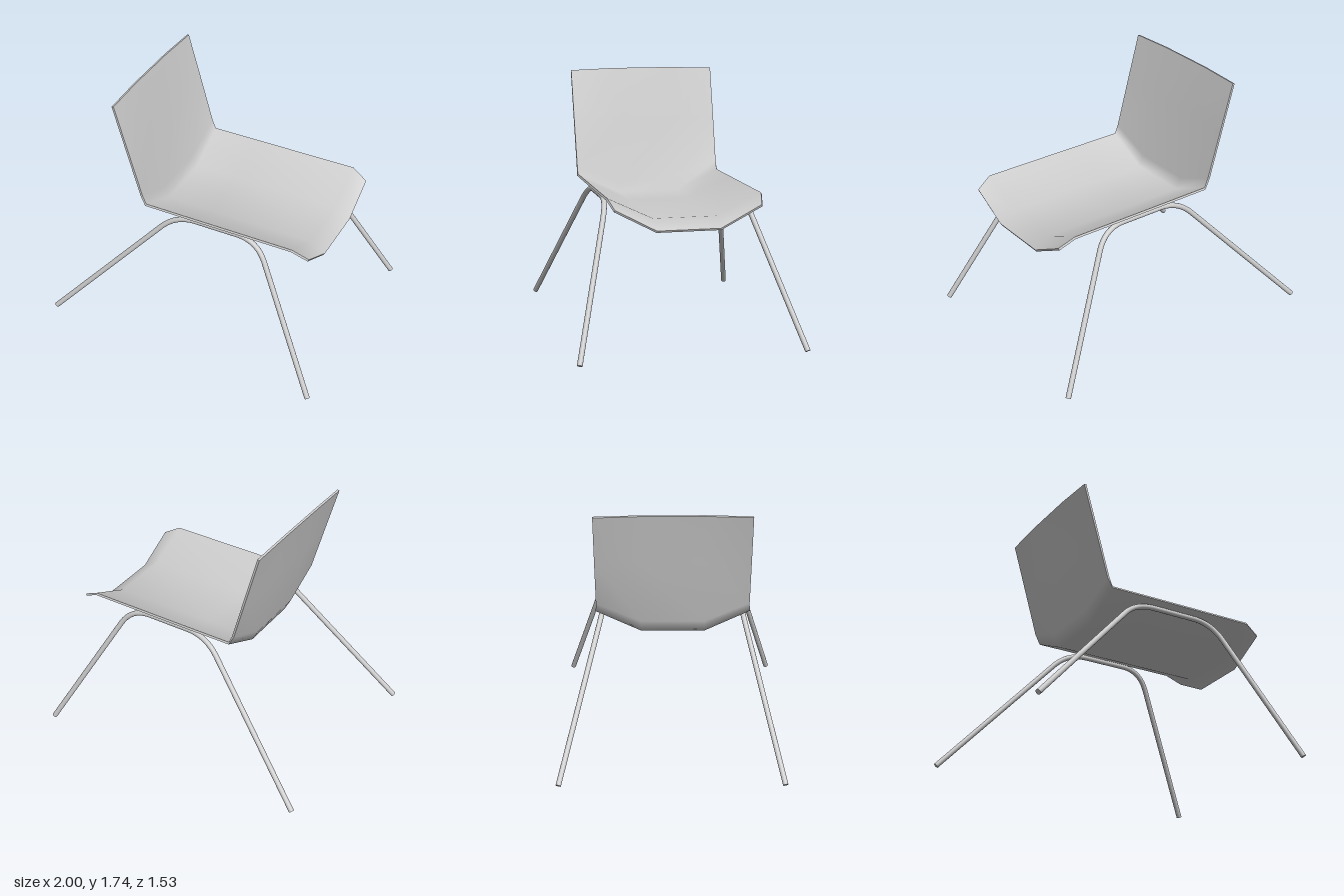
import * as THREE from 'three';
import { mergeGeometries } from 'three/addons/utils/BufferGeometryUtils.js';

const THICKNESS = 0.015;
const TUBE_RADIUS = 0.018;
const material = new THREE.MeshStandardMaterial({ color: 0xcccccc, side: THREE.DoubleSide });

function indexed(positions, index) {
  const g = new THREE.BufferGeometry();
  g.setAttribute('position', new THREE.Float32BufferAttribute(positions, 3));
  g.setIndex(index);
  g.computeVertexNormals();
  return g;
}

// Thin bent shell: trough-shaped cross-sections from the top of the back to the front lip
function shellGeometry() {
  // [edge x, edge y, middle x, middle y, half width]
  const sections = [
    [-0.553, 1.735, -0.558, 1.745, 0.512],
    [-0.458, 1.40, -0.475, 1.40, 0.510],
    [-0.368, 1.08, -0.376, 0.955, 0.507],
    [-0.343, 1.02, -0.34, 0.879, 0.507],
    [0.0, 1.02, 0.0, 0.879, 0.508],
    [0.73, 1.02, 0.73, 0.879, 0.508],
    [0.84, 0.96, 0.84, 0.817, 0.480],
  ];
  const cols = 4, rows = sections.length;
  const top = [];
  for (const [ex, ey, mx, my, w] of sections) {
    top.push(ex, ey, w, mx, my, 0.21, mx, my, -0.21, ex, ey, -w);
  }
  const faces = [], flipped = [];
  for (let r = 0; r < rows - 1; r++) {
    for (let c = 0; c < cols - 1; c++) {
      const a = r * cols + c, b = a + cols;
      faces.push(a, b, a + 1, a + 1, b, b + 1);
      flipped.push(a, a + 1, b, a + 1, b + 1, b);
    }
  }
  const upper = indexed(top, faces);
  const n = upper.attributes.normal.array;
  const bottom = top.map((v, i) => v - n[i] * THICKNESS);
  const lower = indexed(bottom, flipped);

  // Rim closing the gap between both skins
  const loop = [];
  for (let r = 0; r < rows; r++) loop.push(r * cols);
  for (let c = 1; c < cols; c++) loop.push((rows - 1) * cols + c);
  for (let r = rows - 2; r >= 0; r--) loop.push(r * cols + cols - 1);
  for (let c = cols - 2; c > 0; c--) loop.push(c);
  const rim = [], rimFaces = [];
  loop.forEach((p, i) => {
    const q = loop[(i + 1) % loop.length];
    for (const [src, k] of [[top, p], [bottom, p], [bottom, q], [top, q]]) {
      rim.push(...src.slice(k * 3, k * 3 + 3));
    }
    const o = i * 4;
    rimFaces.push(o, o + 1, o + 2, o, o + 2, o + 3);
  });
  return mergeGeometries([upper, lower, indexed(rim, rimFaces)]);
}

// One bent tube makes the back leg, seat rail and front leg of a side
function legFrameGeometry(side) {
  const railY = 0.966, railZ = side > 0 ? 0.475 : -0.455;
  const point = (x, y) =>
    new THREE.Vector3(x, y, railZ + (side * 0.752 - railZ) * (railY - y) / railY);
  const backFoot = point(-0.986, 0.044), backCorner = point(-0.14, railY);
  const frontCorner = point(0.465, railY), frontFoot = point(0.98, 0.01);
  const toward = (a, b, d) => a.clone().add(b.clone().sub(a).setLength(d));
  const bend = 0.15;
  const p1 = toward(backCorner, backFoot, bend), p2 = toward(backCorner, frontCorner, bend);
  const p3 = toward(frontCorner, backCorner, bend), p4 = toward(frontCorner, frontFoot, bend);

  const path = new THREE.CurvePath();
  path.add(new THREE.LineCurve3(backFoot, p1));
  path.add(new THREE.QuadraticBezierCurve3(p1, backCorner, p2));
  path.add(new THREE.LineCurve3(p2, p3));
  path.add(new THREE.QuadraticBezierCurve3(p3, frontCorner, p4));
  path.add(new THREE.LineCurve3(p4, frontFoot));

  const cap = (foot, from) => {
    const g = new THREE.CircleGeometry(TUBE_RADIUS, 16);
    const dir = foot.clone().sub(from).normalize();
    g.applyQuaternion(new THREE.Quaternion().setFromUnitVectors(new THREE.Vector3(0, 0, 1), dir));
    return g.translate(foot.x, foot.y, foot.z);
  };
  return mergeGeometries([
    new THREE.TubeGeometry(path, 120, TUBE_RADIUS, 16, false),
    cap(backFoot, p1),
    cap(frontFoot, p4),
  ]);
}

export function createModel() {
  const chair = new THREE.Group();
  chair.name = 'chair';

  const shell = new THREE.Mesh(shellGeometry(), material);
  shell.name = 'seatShell';
  shell.position.z = 0.011;
  chair.add(shell);

  for (const side of [1, -1]) {
    const legs = new THREE.Mesh(legFrameGeometry(side), material);
    legs.name = side > 0 ? 'legFramePositiveZ' : 'legFrameNegativeZ';
    chair.add(legs);
  }
  return chair;
}
